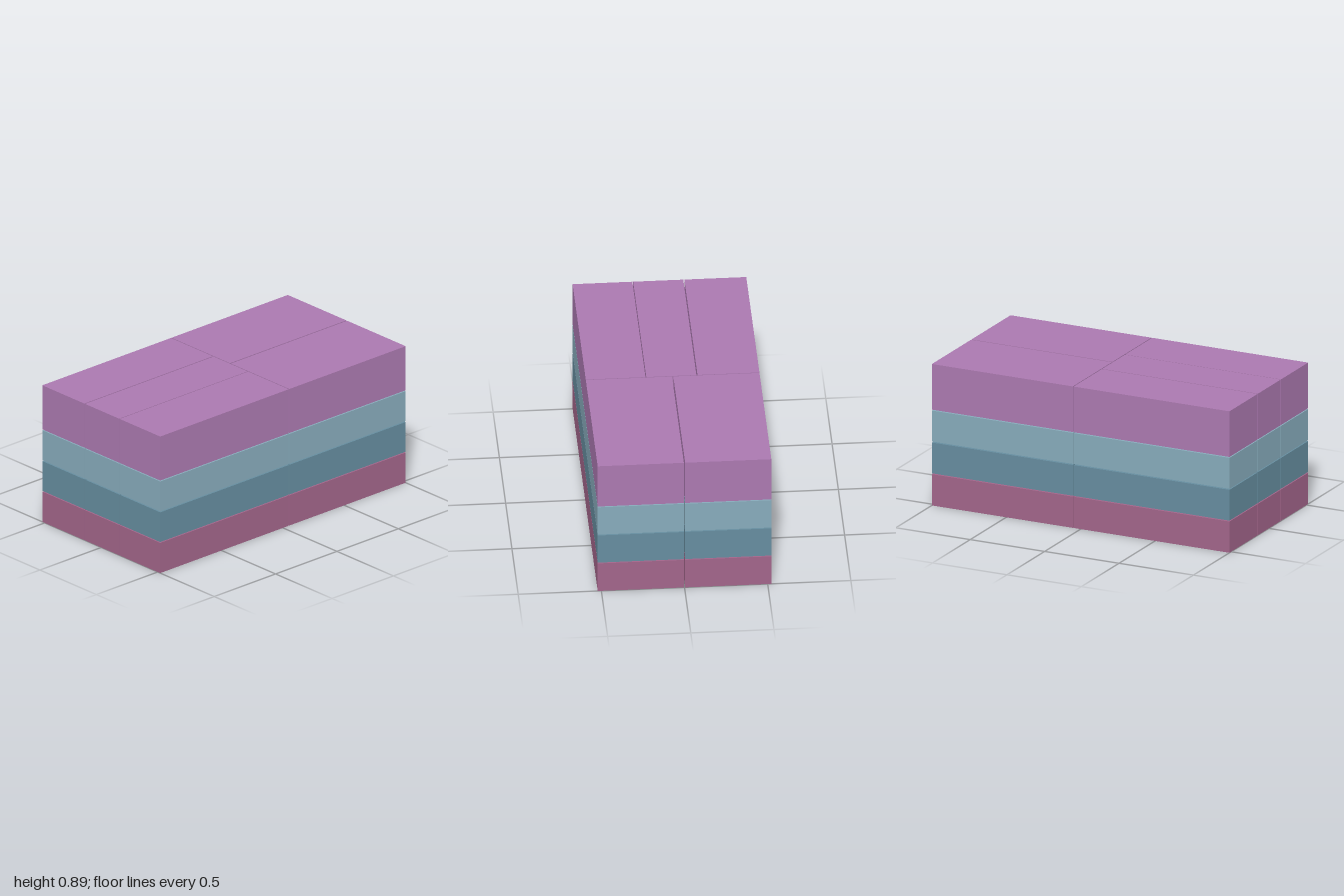
import * as THREE from 'three';

// Stacked layers: bottom, top, colour
const LAYERS = [
  { name: 'bottomLayer', y0: 0, y1: 0.197, color: 0xa2658a },
  { name: 'lowerMiddleLayer', y0: 0.203, y1: 0.397, color: 0x668d9f },
  { name: 'upperMiddleLayer', y0: 0.404, y1: 0.599, color: 0x87abbb },
  { name: 'topLayer', y0: 0.605, y1: 0.893, color: 0xab79b0 },
];

// Each layer has three blocks on the right column and two on the left
const COLUMNS = [
  {
    name: 'right', x0: -1, x1: 0.047,
    rows: [['Back', -0.522, -0.15], ['Middle', -0.143, 0.158], ['Front', 0.163, 0.522]],
  },
  {
    name: 'left', x0: 0.053, x1: 1,
    rows: [['Back', -0.522, -0.004], ['Front', 0.004, 0.522]],
  },
];

// Box given by its opposite corners
function block(name, material, x0, x1, y0, y1, z0, z1) {
  const mesh = new THREE.Mesh(new THREE.BoxGeometry(x1 - x0, y1 - y0, z1 - z0), material);
  mesh.position.set((x0 + x1) / 2, (y0 + y1) / 2, (z0 + z1) / 2);
  mesh.name = name;
  return mesh;
}

export function createModel() {
  const model = new THREE.Group();
  model.name = 'stackedBlocks';
  for (const { name, y0, y1, color } of LAYERS) {
    const layer = new THREE.Group();
    layer.name = name;
    const material = new THREE.MeshStandardMaterial({ color });
    for (const col of COLUMNS) {
      for (const [row, z0, z1] of col.rows) {
        layer.add(block(`${col.name}${row}Block`, material, col.x0, col.x1, y0, y1, z0, z1));
      }
    }
    model.add(layer);
  }
  return model;
}
